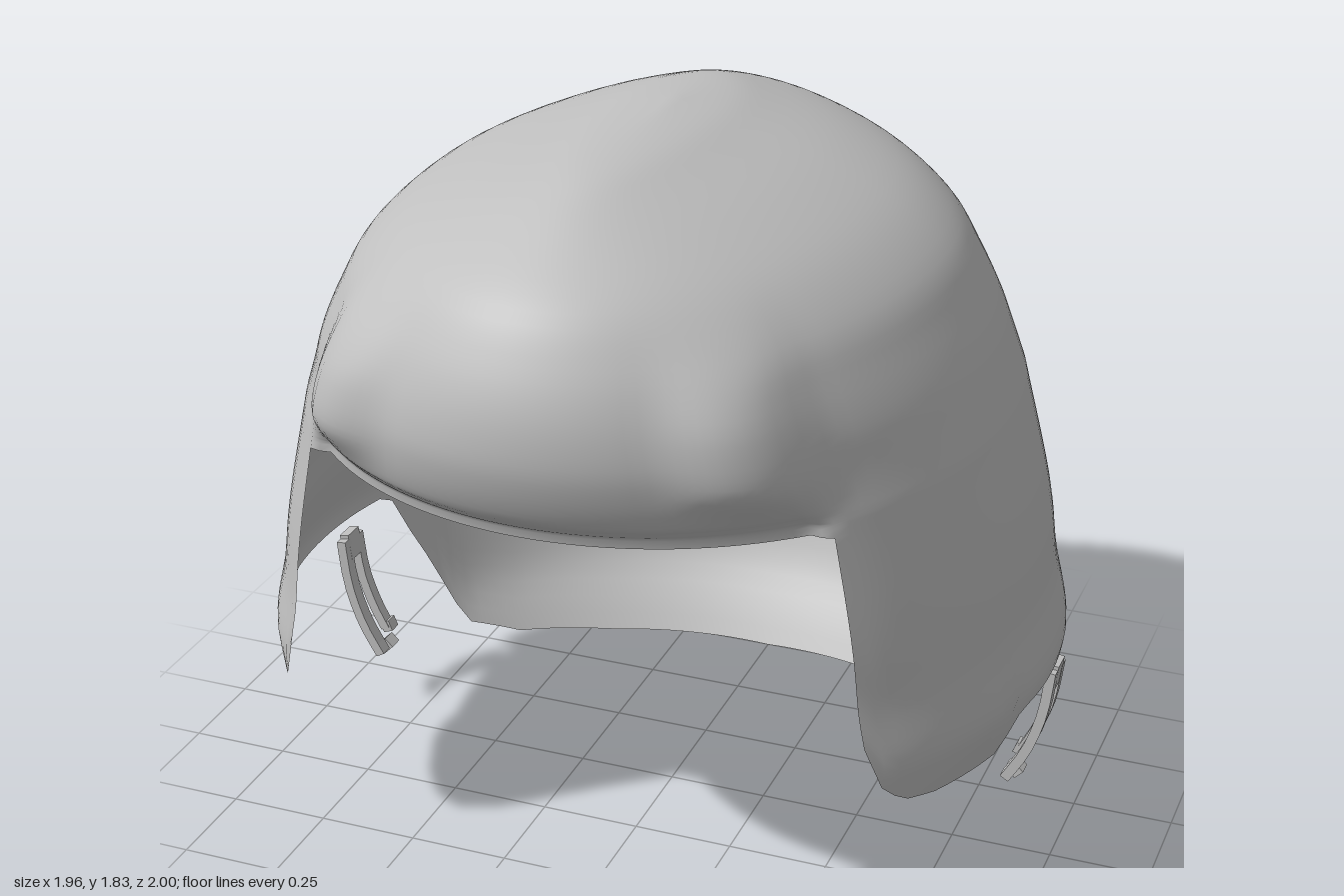
import * as THREE from 'three';
import { mergeGeometries, mergeVertices } from 'three/addons/utils/BufferGeometryUtils.js';

const BROW_Y = 1.13, BROW_ANGLE = 47.5, STEP = 2.5;

// Horizontal sections: height, half width, front reach, back reach
const SECTIONS = [
  [0.00, 0.82, 0.90, 0.745], [0.10, 0.87, 0.90, 0.81], [0.20, 0.91, 0.90, 0.89],
  [0.35, 0.94, 0.90, 0.95], [0.50, 0.972, 0.90, 0.985], [0.57, 0.977, 0.90, 0.985],
  [0.70, 0.945, 0.90, 0.987], [0.83, 0.925, 0.90, 1.0], [0.95, 0.90, 0.90, 0.975],
  [BROW_Y, 0.855, 0.90, 0.93], [1.17, 0.845, 0.925, 0.92], [1.20, 0.835, 0.955, 0.91],
  [1.27, 0.81, 0.985, 0.885], [1.35, 0.78, 1.0, 0.85], [1.45, 0.73, 0.99, 0.805],
  [1.55, 0.67, 0.95, 0.75], [1.65, 0.55, 0.88, 0.66], [1.73, 0.385, 0.75, 0.54],
  [1.79, 0.21, 0.60, 0.385], [1.82, 0.11, 0.41, 0.25], [1.835, 0, 0, 0],
];
const BROW_ROW = 9, LAST = SECTIONS.length - 1;

// Hem height by angle from the front, in degrees
const HEM = [
  [47.5, 0.62], [50, 0.51], [54, 0.455], [60, 0.44], [73, 0.445], [78, 0.52], [107, 0.52],
  [110, 0.40], [119, 0.11], [130, 0.05], [149, 0.02], [180, 0.005],
];

const [widthCurve, frontCurve, backCurve] = [1, 2, 3].map(
  (k) => new THREE.SplineCurve(SECTIONS.map((s) => new THREE.Vector2(s[0], s[k]))));

function hemAt(angle) {
  const a = angle > 180 ? 360 - angle : angle;
  const i = Math.max(1, HEM.findIndex((h) => h[0] >= a));
  const [a0, y0] = HEM[i - 1], [a1, y1] = HEM[i];
  return THREE.MathUtils.mapLinear(a, a0, a1, y0, y1);
}

// Finds the section parameter at a height
function paramAt(y) {
  let lo = 0, hi = 1;
  for (let i = 0; i < 24; i++) {
    const mid = (lo + hi) / 2;
    if (widthCurve.getPoint(mid).x < y) lo = mid; else hi = mid;
  }
  return (lo + hi) / 2;
}

function shellPoint(angle, u) {
  const { x: y, y: width } = widthCurve.getPoint(u);
  const fromFront = angle > 180 ? 360 - angle : angle;
  const smooth = THREE.MathUtils.smoothstep;
  let reach = backCurve.getPoint(u).y;
  if (fromFront <= 90) {
    const brow = frontCurve.getPoint(u).y;
    const flap = THREE.MathUtils.lerp(0.98, brow, smooth(y, 1.15, 1.4));
    reach = THREE.MathUtils.lerp(brow, flap, smooth(fromFront, 42, BROW_ANGLE));
    // Padded corner of the brow
    const corner = smooth(fromFront, 22, 42) * (1 - smooth(fromFront, 43, 52));
    reach *= 1 + 0.1 * corner * smooth(y, 1.16, 1.3) * (1 - smooth(y, 1.4, 1.68));
  }
  const t = THREE.MathUtils.degToRad(angle);
  return [width * Math.sin(t), y, reach * Math.cos(t)];
}

// Grid of points joined into quads, counter-clockwise from outside
function grid(columns, rows, pointAt) {
  const positions = [], index = [];
  for (let j = 0; j <= rows; j++)
    for (let i = 0; i <= columns; i++) positions.push(...pointAt(i, j));
  for (let j = 0; j < rows; j++)
    for (let i = 0; i < columns; i++) {
      const a = j * (columns + 1) + i, b = a + 1, c = a + columns + 1, d = c + 1;
      index.push(a, b, d);
      if (j < rows - 1 || positions[c * 3 + 1] < 1.834) index.push(a, d, c);
    }
  const g = new THREE.BufferGeometry();
  g.setAttribute('position', new THREE.Float32BufferAttribute(positions, 3));
  g.setIndex(index);
  return g;
}

function shellGeometry() {
  // Crown with the brow
  const crownRows = (LAST - BROW_ROW) * 4;
  const crown = grid(360 / STEP, crownRows, (i, j) =>
    shellPoint(i * STEP, (BROW_ROW + j / 4) / LAST));
  // Side flaps and neck guard, open at the face
  const skirtRows = 28;
  const skirt = grid((360 - 2 * BROW_ANGLE) / STEP, skirtRows, (i, j) => {
    const angle = BROW_ANGLE + i * STEP;
    const y = THREE.MathUtils.lerp(hemAt(angle), BROW_Y, j / skirtRows);
    return shellPoint(angle, j === skirtRows ? BROW_ROW / LAST : paramAt(y));
  });
  const merged = mergeVertices(mergeGeometries([crown, skirt]), 1e-4);
  merged.computeVertexNormals();
  return merged;
}

// Curved strip in the xy plane, given a depth in z
function strip(points, thickness, z, depth) {
  const mid = new THREE.SplineCurve(points.map((p) => new THREE.Vector2(...p)));
  const side = (sign) => Array.from({ length: 9 }, (_, i) => {
    const t = mid.getTangent(i / 8);
    return mid.getPoint(i / 8).add(new THREE.Vector2(-t.y, t.x).multiplyScalar(sign * thickness / 2));
  });
  const shape = new THREE.Shape([...side(1), ...side(-1).reverse()]);
  return new THREE.ExtrudeGeometry(shape, { depth, bevelEnabled: false }).translate(0, 0, z - depth / 2);
}

function strapClip(material) {
  const clip = new THREE.Group();
  const add = (name, geometry) => {
    const mesh = new THREE.Mesh(geometry, material);
    mesh.name = name;
    clip.add(mesh);
  };
  add('frontProng', strip([[0.96, 0.48], [0.945, 0.36], [0.91, 0.25], [0.86, 0.16]], 0.025, -0.075, 0.035));
  add('rearProng', strip([[0.96, 0.47], [0.945, 0.36], [0.915, 0.27], [0.88, 0.20]], 0.025, -0.145, 0.03));
  add('clipBridge', strip([[0.962, 0.49], [0.958, 0.46], [0.953, 0.42]], 0.025, -0.11, 0.06));
  add('prongTip', strip([[0.865, 0.21], [0.89, 0.20]], 0.03, -0.15, 0.035));
  add('looseTip', strip([[0.86, 0.17], [0.885, 0.145]], 0.03, -0.13, 0.04));
  return clip;
}

export function createModel() {
  const model = new THREE.Group();
  model.name = 'helmet';
  const grey = new THREE.MeshStandardMaterial({ color: 0xc0c0c0, side: THREE.DoubleSide });
  grey.name = 'plain grey';

  const shell = new THREE.Mesh(shellGeometry(), grey);
  shell.name = 'helmetShell';
  model.add(shell);

  // Strap clips below each ear
  for (const sign of [1, -1]) {
    const clip = strapClip(grey);
    clip.name = sign > 0 ? 'leftStrapClip' : 'rightStrapClip';
    clip.scale.x = sign;
    model.add(clip);
  }
  return model;
}
